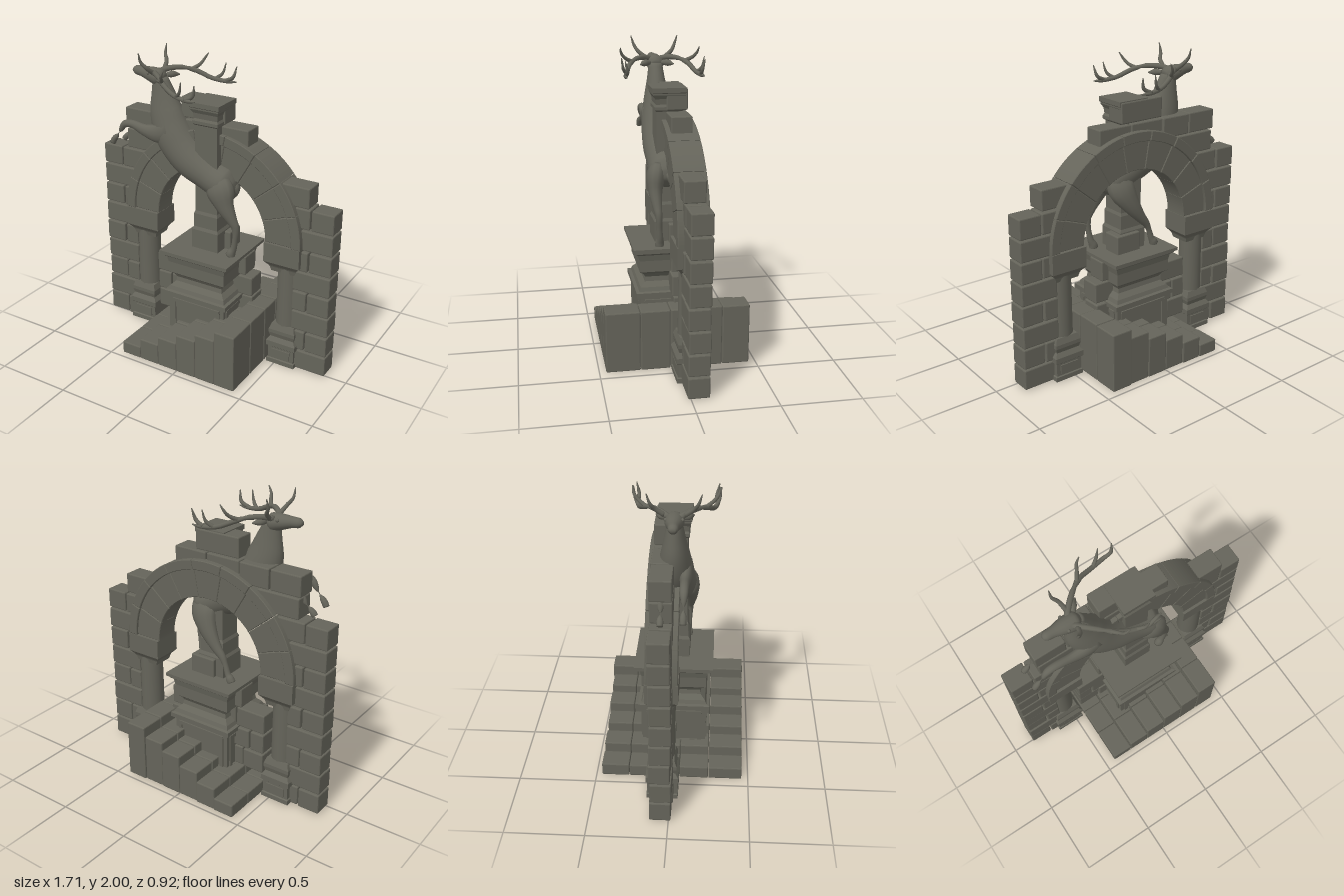
import * as THREE from 'three';
import { RoundedBoxGeometry } from 'three/addons/geometries/RoundedBoxGeometry.js';

export function createModel() {
  const model = new THREE.Group();
  model.name = 'leapingStagMonument';
  const stone = new THREE.MeshStandardMaterial({ color: 0x65645a });
  stone.name = 'oliveGreyStone';

  let seed = 7;
  const rnd = () => ((seed = (seed * 16807) % 2147483647) / 2147483647) - 0.5;

  const group = (name) => {
    const g = new THREE.Group();
    g.name = name;
    model.add(g);
    return g;
  };
  const add = (parent, name, geo, x = 0, y = 0, z = 0) => {
    const m = new THREE.Mesh(geo, stone);
    m.name = name;
    m.position.set(x, y, z);
    parent.add(m);
    return m;
  };
  const flat = (geo) => {
    const g = geo.index ? geo.toNonIndexed() : geo;
    g.computeVertexNormals();
    return g;
  };

  // chamfered stone given by its extents
  const block = (parent, name, x0, x1, y0, y1, z0, z1) => {
    const geo = flat(new RoundedBoxGeometry(x1 - x0, y1 - y0, z1 - z0, 1, 0.007));
    return add(parent, name, geo, (x0 + x1) / 2, (y0 + y1) / 2, (z0 + z1) / 2);
  };
  // square moulded shaft from [half width, height] pairs
  const squareTurned = (parent, name, profile, x = 0, z = 0, depth = 1) => {
    const r = Math.SQRT2;
    const pts = [[0, profile[0][1]], ...profile, [0, profile[profile.length - 1][1]]];
    const geo = new THREE.LatheGeometry(pts.map(([w, y]) => new THREE.Vector2(w * r, y)), 4);
    geo.rotateY(Math.PI / 4);
    geo.scale(1, 1, depth);
    return add(parent, name, flat(geo), x, 0, z);
  };
  // smooth organic loft; each section is [x, y, z, in-plane radius, side radius]
  const loft = (parent, name, sections, rings = 20, sides = 12) => {
    const path = new THREE.CatmullRomCurve3(sections.map((s) => new THREE.Vector3(s[0], s[1], s[2])));
    const size = new THREE.CatmullRomCurve3(sections.map((s) => new THREE.Vector3(s[3], s[4] ?? s[3], 0)));
    const pos = [], idx = [];
    for (let i = 0; i <= rings; i++) {
      const t = i / rings, p = path.getPoint(t), r = size.getPoint(t), T = path.getTangent(t);
      const B = new THREE.Vector3(0, 0, 1).addScaledVector(T, -T.z).normalize();
      const N = B.clone().cross(T);
      for (let j = 0; j < sides; j++) {
        const a = (j / sides) * Math.PI * 2;
        const v = p.clone().addScaledVector(N, Math.cos(a) * r.x).addScaledVector(B, Math.sin(a) * r.y);
        pos.push(v.x, v.y, v.z);
      }
    }
    const s = (rings + 1) * sides;
    for (const e of [path.getPoint(0), path.getPoint(1)]) pos.push(e.x, e.y, e.z);
    for (let j = 0; j < sides; j++) {
      const k = (j + 1) % sides;
      for (let i = 0; i < rings; i++) {
        const a = i * sides + j, b = i * sides + k;
        idx.push(a, b, a + sides, b, b + sides, a + sides);
      }
      idx.push(s, k, j, s + 1, rings * sides + j, rings * sides + k);
    }
    const geo = new THREE.BufferGeometry();
    geo.setAttribute('position', new THREE.Float32BufferAttribute(pos, 3));
    geo.setIndex(idx);
    geo.computeVertexNormals();
    return add(parent, name, geo);
  };

  // stairs: columns of stones rising towards +x
  const stairs = group('steps');
  const heights = [0.09, 0.155, 0.22, 0.28, 0.33, 0.4];
  const rows = [-0.455, -0.28, -0.1, 0.05, 0.24, 0.46];
  heights.forEach((h, i) => {
    const x = -0.43 + i * 0.1433;
    for (let k = 0; k < 5; k++) {
      const end = k === 0 ? rnd() * 0.015 : 0;
      block(stairs, 'stepStone', x, x + 0.142, 0.005, h + rnd() * 0.006, rows[k] + end, rows[k + 1] - 0.003);
    }
  });

  // coursed ruined wall: [course, x0, x1]
  const wall = group('ruinedWall');
  const brick = (row, x0, x1) => {
    const y = 0.012 + row * 0.1435, d = rnd() * 0.012;
    const m = block(wall, 'wallStone', x0, x1, y, y + 0.133, -0.118 + d, 0.015 + d);
    m.rotation.z = rnd() * 0.012;
  };
  for (const s of [-1, 1]) {
    for (let r = 0; r < (s < 0 ? 9 : 8); r++) {
      const dy = Math.max(0, 0.08 + r * 0.1435 - 0.88);
      const inner = dy > 0 ? Math.sqrt(0.36 - dy * dy) : 0.6;
      const put = (a, b) => (s < 0 ? brick(r, -b, -a) : brick(r, a, b));
      if (r % 2 === (s < 0 ? 1 : 0)) {
        put(inner, 0.853);
      } else {
        put(0.705, 0.853);
        put(inner, 0.695);
      }
    }
  }
  [[8, 0.47, 0.69], [9, -0.65, -0.36], [10, -0.66, -0.45], [10, -0.44, -0.23], [10, -0.22, 0.02],
    [10, 0.03, 0.265], [11, -0.22, 0.1], [5, -0.04, 0.14], [4, -0.26, -0.01], [4, 0, 0.26],
    [3, -0.43, -0.22], [3, -0.21, 0.05], [3, 0.06, 0.31], [2, -0.43, -0.33], [2, -0.32, -0.1],
    [1, -0.43, -0.28], [1, -0.27, -0.1], [2, 0.1, 0.31]].forEach((b) => brick(...b));

  // arch of two stepped rings of wedge stones
  const arch = group('arch');
  const wedge = (r0, r1, a0, a1, z0, z1) => {
    const shape = new THREE.Shape();
    shape.absarc(0, 0, r1, a0, a1, false);
    shape.absarc(0, 0, r0, a1, a0, true);
    const geo = new THREE.ExtrudeGeometry(shape, {
      depth: z1 - z0 - 0.008, bevelThickness: 0.004, bevelSize: 0.004, bevelOffset: -0.004,
      bevelSegments: 1, curveSegments: 5,
    });
    add(arch, 'archStone', geo, 0, 0.88, z0 + 0.004);
  };
  const count = 9;
  for (let i = 0; i < count; i++) {
    const a0 = (i * Math.PI) / count, a1 = ((i + 1) * Math.PI) / count - 0.004;
    wedge(0.405, 0.6, a0, a1, -0.133, 0.033);
    wedge(0.59, 0.655, a0, a1, -0.15, 0.048);
  }

  // arch columns
  for (const s of [-1, 1]) {
    const col = group(s < 0 ? 'rightColumn' : 'leftColumn');
    const x = s * 0.547, z = -0.052;
    squareTurned(col, 'columnBase', [[0.1, 0.01], [0.1, 0.04], [0.092, 0.045], [0.092, 0.13], [0.104, 0.14],
      [0.104, 0.175], [0.084, 0.205], [0.092, 0.235], [0.092, 0.26], [0.078, 0.3]], x, z);
    for (const f of [-1, 1]) {
      add(col, 'plinthPanel', new THREE.BoxGeometry(0.13, 0.06, 0.008), x, 0.088, z + f * 0.095);
    }
    add(col, 'columnShaft', new THREE.CylinderGeometry(0.076, 0.08, 0.46, 20), x, 0.51, z);
    squareTurned(col, 'columnCapital', [[0.082, 0.68], [0.09, 0.71], [0.096, 0.72], [0.124, 0.75],
      [0.124, 0.88]], s * 0.529, z, 0.82);
  }

  // pedestal and broken pillar
  const pedestal = group('pedestal');
  squareTurned(pedestal, 'pedestalBody', [[0.225, 0.01], [0.225, 0.1], [0.21, 0.12], [0.21, 0.4], [0.235, 0.41],
    [0.235, 0.44], [0.215, 0.445], [0.205, 0.47], [0.175, 0.5], [0.17, 0.53], [0.185, 0.555], [0.21, 0.575],
    [0.21, 0.65], [0.218, 0.69], [0.238, 0.705], [0.238, 0.715], [0.254, 0.72], [0.254, 0.74]]);
  for (let i = 0; i < 4; i++) {
    const side = new THREE.Group();
    side.name = 'pedestalPanel';
    side.rotation.y = (i * Math.PI) / 2;
    pedestal.add(side);
    for (const f of [-1, 1]) {
      add(side, 'panelRail', new THREE.BoxGeometry(0.36, 0.025, 0.014), 0, 0.26 + f * 0.115, 0.212);
      add(side, 'panelStile', new THREE.BoxGeometry(0.025, 0.23, 0.014), f * 0.17, 0.26, 0.212);
    }
  }
  squareTurned(pedestal, 'pillar', [[0.098, 0.74], [0.098, 0.87], [0.088, 0.89], [0.088, 0.98], [0.08, 1],
    [0.08, 1.58], [0.092, 1.59], [0.092, 1.61], [0.084, 1.625], [0.088, 1.66], [0.102, 1.685],
    [0.102, 1.695], [0.108, 1.7], [0.108, 1.73]]);

  // rearing stag
  const stag = group('stag');
  const zc = 0.015;
  loft(stag, 'body', [[-0.375, 1.82, zc, 0.05, 0.045], [-0.355, 1.72, zc, 0.085, 0.06], [-0.33, 1.6, zc, 0.12, 0.085],
    [-0.275, 1.465, zc, 0.135, 0.11], [-0.16, 1.335, zc, 0.13, 0.12], [0, 1.245, zc, 0.112, 0.115],
    [0.1, 1.205, zc, 0.115, 0.12], [0.16, 1.185, zc, 0.07, 0.08], [0.185, 1.175, zc, 0.015, 0.02]], 32, 20);
  loft(stag, 'head', [[-0.345, 1.81, zc, 0.03, 0.03], [-0.38, 1.82, zc, 0.056, 0.058], [-0.44, 1.832, zc, 0.048, 0.052],
    [-0.51, 1.842, zc, 0.034, 0.034], [-0.555, 1.845, zc, 0.03, 0.03], [-0.577, 1.845, zc, 0.012, 0.015]], 18, 14);
  loft(stag, 'tail', [[0.15, 1.22, zc, 0.03], [0.18, 1.19, zc, 0.025], [0.192, 1.15, zc, 0.006]], 8, 8);
  loft(stag, 'hindLegFront', [[0.08, 1.23, 0.07, 0.09, 0.05], [0.11, 1.18, 0.09, 0.1, 0.06], [0.15, 1.09, 0.1, 0.065, 0.045],
    [0.2, 1, 0.095, 0.036, 0.03], [0.223, 0.95, 0.09, 0.026, 0.022], [0.218, 0.86, 0.085, 0.018],
    [0.205, 0.795, 0.08, 0.021], [0.19, 0.765, 0.08, 0.028], [0.182, 0.742, 0.08, 0.032, 0.028]], 30);
  loft(stag, 'hindLegBack', [[0.08, 1.23, -0.04, 0.09, 0.05], [0.07, 1.16, -0.07, 0.095, 0.06], [0.02, 1.06, -0.1, 0.065, 0.045],
    [-0.05, 0.96, -0.11, 0.038, 0.03], [-0.1, 0.9, -0.11, 0.026, 0.022], [-0.125, 0.85, -0.11, 0.018],
    [-0.145, 0.79, -0.11, 0.02], [-0.16, 0.765, -0.11, 0.027], [-0.17, 0.742, -0.11, 0.03, 0.026]], 30);
  const foreleg = (name, z, drop) => loft(stag, name, [[-0.27, 1.5, z, 0.08, 0.04], [-0.36, 1.47, z, 0.065, 0.04],
    [-0.46, 1.475, z, 0.04, 0.03], [-0.56, 1.5 - drop, z, 0.026], [-0.62, 1.488 - drop, z, 0.024],
    [-0.655, 1.44 - drop, z, 0.016], [-0.69, 1.395 - drop * 0.6, z, 0.016], [-0.71, 1.37 - drop * 0.5, z, 0.02],
    [-0.725, 1.343 - drop * 0.3, z, 0.02, 0.018]], 30);
  foreleg('forelegFront', 0.08, 0);
  foreleg('forelegBack', -0.05, 0.045);

  // ears, eyes and branching antlers on both sides
  for (const s of [-1, 1]) {
    const z = (d) => zc + s * d;
    const branch = (name, pts) => loft(stag, name, pts.map(([x, y, d, r]) => [x, y, z(d), r]), 16, 8);
    add(stag, 'eye', new THREE.SphereGeometry(0.011, 10, 8), -0.435, 1.85, z(0.047));
    branch('ear', [[-0.355, 1.83, 0.04, 0.014], [-0.335, 1.83, 0.075, 0.022], [-0.3, 1.825, 0.11, 0.004]]);
    branch('antlerBeam', [[-0.4, 1.85, 0.03, 0.02], [-0.36, 1.865, 0.075, 0.018], [-0.29, 1.865, 0.14, 0.016],
      [-0.22, 1.84, 0.19, 0.016], [-0.13, 1.8, 0.22, 0.015], [-0.03, 1.787, 0.24, 0.014], [0.035, 1.79, 0.245, 0.004]]);
    branch('browTine', [[-0.385, 1.86, 0.06, 0.015], [-0.4, 1.9, 0.11, 0.013], [-0.425, 1.94, 0.135, 0.01], [-0.427, 2, 0.155, 0.003]]);
    branch('middleTine', [[-0.25, 1.85, 0.17, 0.014], [-0.215, 1.88, 0.22, 0.011], [-0.2, 1.91, 0.245, 0.009], [-0.175, 1.95, 0.255, 0.003]]);
    branch('upperTine', [[-0.11, 1.795, 0.225, 0.013], [-0.07, 1.83, 0.25, 0.01], [-0.05, 1.9, 0.262, 0.003]]);
    branch('endTine', [[-0.04, 1.79, 0.24, 0.013], [0.015, 1.82, 0.235, 0.012], [0.035, 1.89, 0.25, 0.003]]);
  }
  return model;
}
